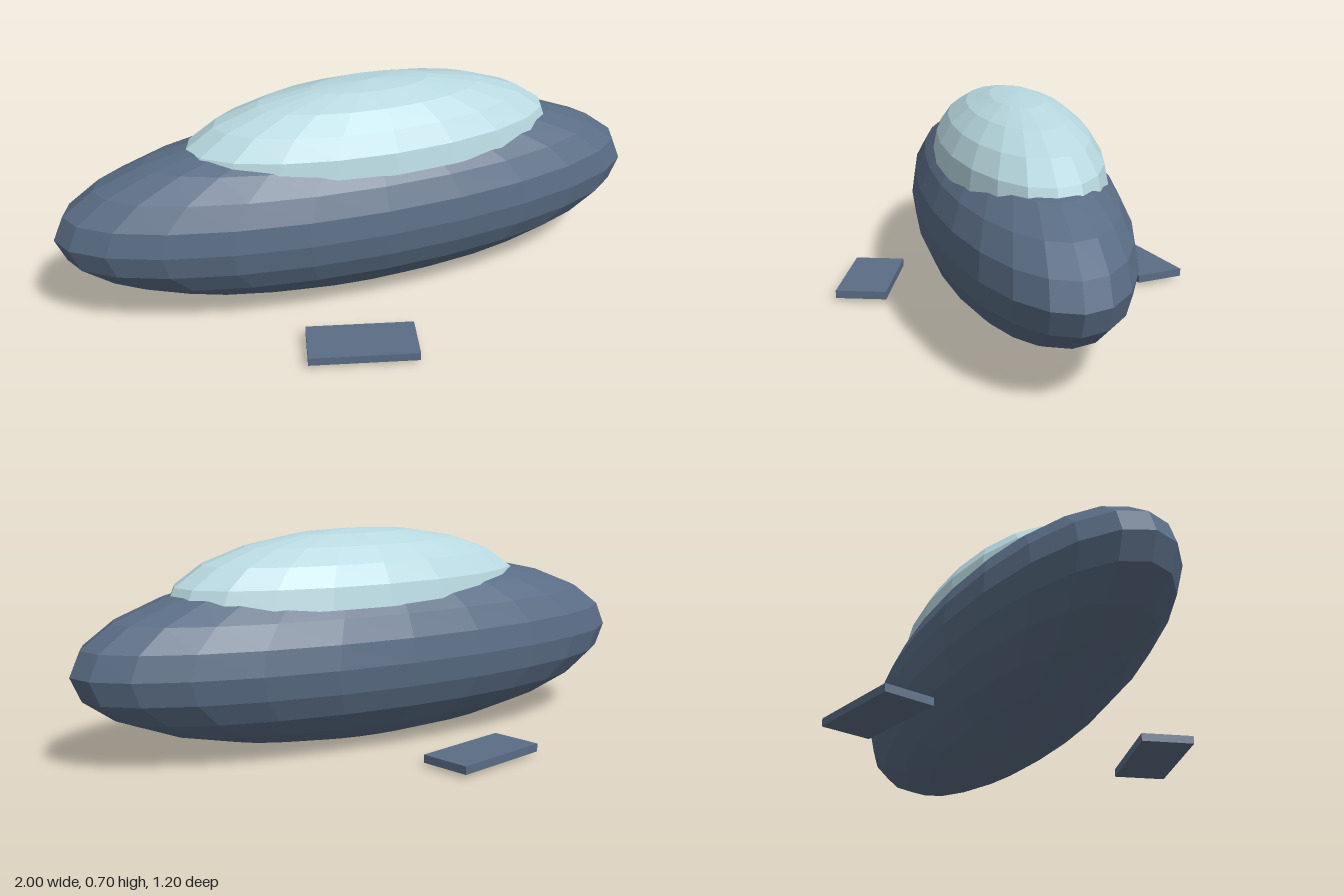
import * as THREE from 'three';

export function createModel() {
  const model = new THREE.Group();
  const hullBlue = new THREE.MeshStandardMaterial({ color: 0x5a6d85, flatShading: true });
  hullBlue.name = 'slate blue';
  const glass = new THREE.MeshStandardMaterial({ color: 0xb8d8e0, flatShading: true, side: THREE.DoubleSide });
  glass.name = 'pale glass blue';

  const add = (name, geometry, material, x, y, z) => {
    const mesh = new THREE.Mesh(geometry, material);
    mesh.name = name;
    mesh.position.set(x, y, z);
    model.add(mesh);
    return mesh;
  };

  // Long faceted hull
  add('hull', new THREE.SphereGeometry(1, 24, 12).scale(1, 0.3, 0.324), hullBlue, 0, 0.3, 0);

  // Half-ellipsoid canopy sunk into the hull, slightly off centre
  const dome = new THREE.SphereGeometry(1, 20, 5, 0, Math.PI * 2, 0, Math.PI / 2);
  add('canopy', dome.scale(0.65, 0.224, 0.262), glass, 0.05, 0.474, 0);

  // Angled fins floating low on either side
  for (const side of [1, -1]) {
    const fin = add(side > 0 ? 'frontFin' : 'backFin',
      new THREE.BoxGeometry(0.345, 0.026, 0.17), hullBlue, -0.15, 0.025, side * 0.475);
    fin.rotation.y = -side * Math.PI / 12;
  }

  return model;
}
